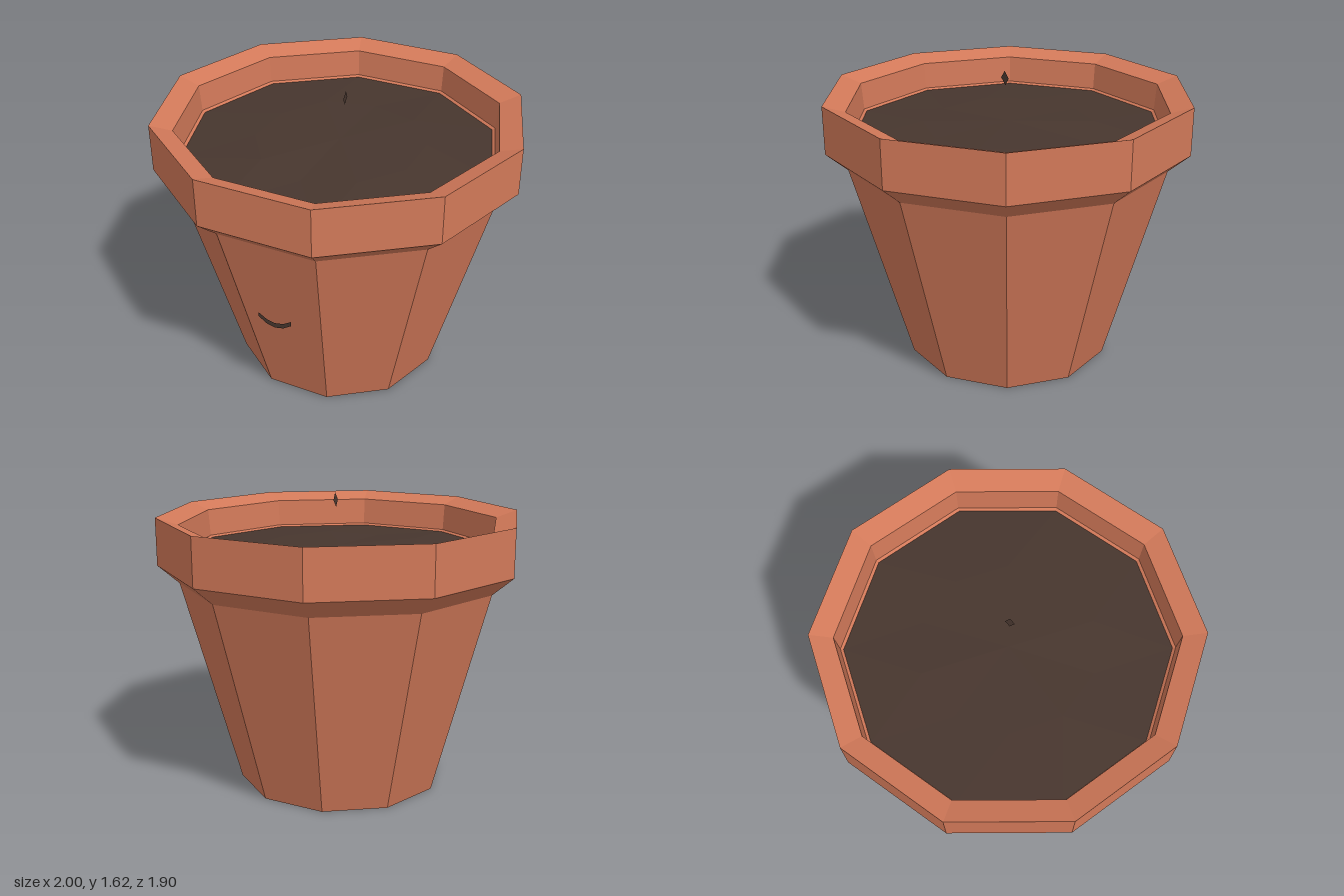
import * as THREE from 'three';

const SIDES = 10;

export function createModel() {
  const model = new THREE.Group();
  model.name = 'flowerPot';

  const clay = new THREE.MeshStandardMaterial({ color: 0xd27959, flatShading: true });
  clay.name = 'terracotta';
  const earth = new THREE.MeshStandardMaterial({ color: 0x47362e, flatShading: true, side: THREE.DoubleSide });
  earth.name = 'dark soil';

  const add = (name, geometry, material) => {
    const mesh = new THREE.Mesh(geometry, material);
    mesh.name = name;
    model.add(mesh);
    return mesh;
  };
  // ten-sided turned shape with a corner on the x axis
  const turned = (points) => new THREE.LatheGeometry(
    points.map(([r, y]) => new THREE.Vector2(r, y)), SIDES, Math.PI / 2);

  // tapered body with closed base
  add('body', turned([[0, 0], [0.573, 0], [0.885, 1.15]]), clay);

  // flared rim, top sloping inward, short inner wall and ledge
  add('rim', turned([
    [0.885, 1.15], [1, 1.25], [1, 1.51], [0.88, 1.47], [0.868, 1.32], [0.83, 1.295],
  ]), clay);

  // soil: gently domed, with a staggered inner ring of uneven bumps
  const ring = (radius, offset, height) => Array.from({ length: SIDES }, (_, i) => {
    const a = ((i + offset) / SIDES) * Math.PI * 2;
    return [radius * Math.cos(a), height(i), radius * Math.sin(a)];
  });
  const outer = ring(0.855, 0, () => 1.31);
  const inner = ring(0.465, 0.5, (i) => 1.33 + 0.008 * Math.sin(i * 2.4));
  const top = [0, 1.34, 0];
  const corners = [];
  for (let i = 0; i < SIDES; i++) {
    const j = (i + 1) % SIDES;
    corners.push(outer[i], inner[i], outer[j]);
    corners.push(inner[i], inner[j], outer[j]);
    corners.push(inner[i], top, inner[j]);
  }
  const soil = new THREE.BufferGeometry();
  soil.setAttribute('position', new THREE.Float32BufferAttribute(corners.flat(), 3));
  soil.computeVertexNormals();
  add('soil', soil, earth);

  // thin crescent smile in front of the body
  const smile = new THREE.Shape();
  smile.moveTo(-0.095, 0.678);
  smile.quadraticCurveTo(0, 0.6, 0.095, 0.678);
  smile.lineTo(0.095, 0.652);
  smile.quadraticCurveTo(0, 0.567, -0.095, 0.652);
  add('smile', new THREE.ShapeGeometry(smile, 4), earth).position.z = 0.78;

  // small diamond leaf above the soil, facing sideways
  const leaf = new THREE.Shape();
  leaf.moveTo(0, -0.04);
  leaf.lineTo(0.025, 0);
  leaf.lineTo(0, 0.04);
  leaf.lineTo(-0.025, 0);
  const leafMesh = add('leaf', new THREE.ShapeGeometry(leaf), earth);
  leafMesh.position.set(0.03, 1.585, 0);
  leafMesh.rotation.set(0, Math.PI / 2, -0.08, 'ZYX');

  return model;
}
